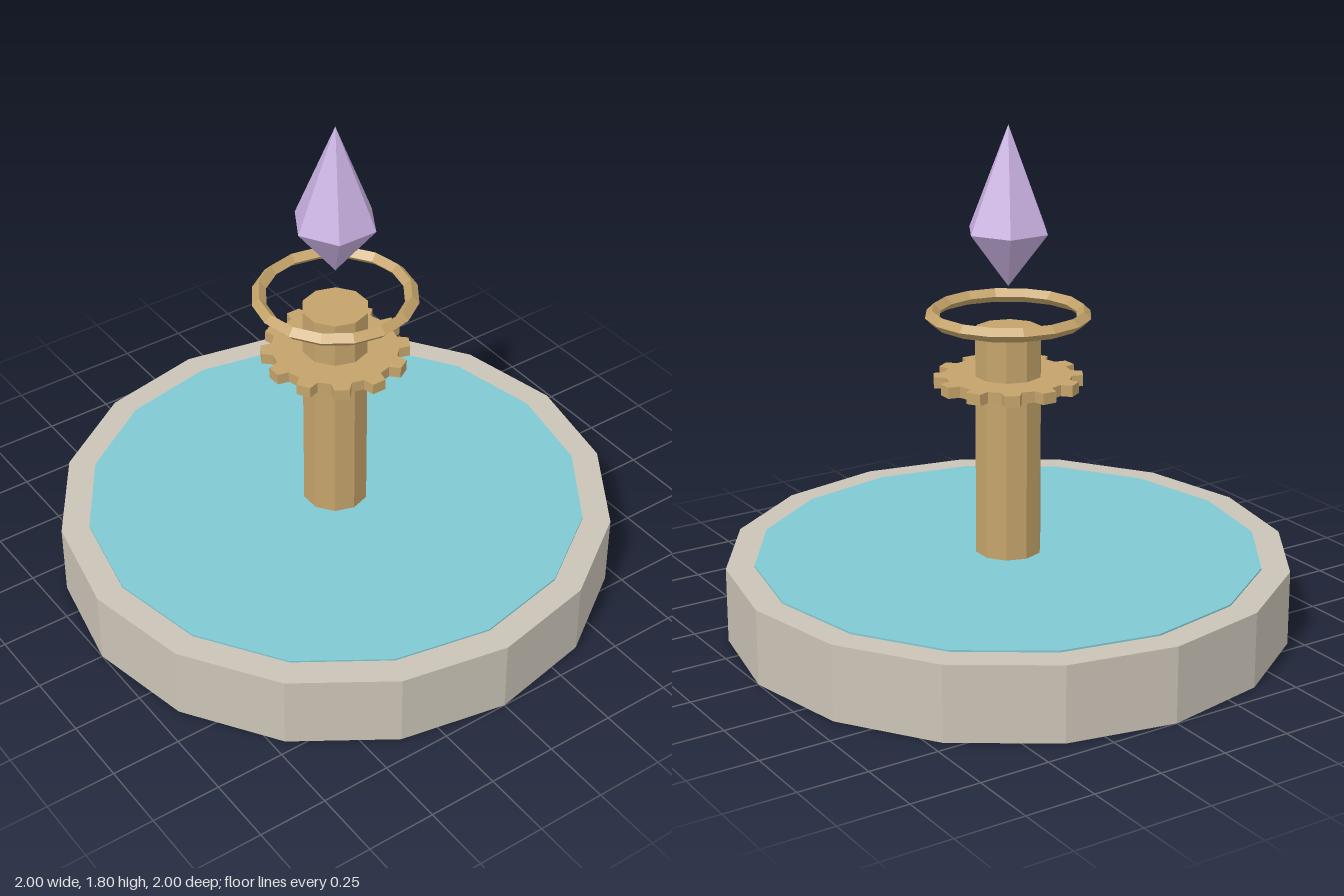
import * as THREE from 'three';

const material = (name, color) => {
  const m = new THREE.MeshStandardMaterial({ color, flatShading: true });
  m.name = name;
  return m;
};

// Flat gear lying in the ground plane, extruded upwards from y = 0
function gearGeometry(teeth, outer, root, thickness) {
  const shape = new THREE.Shape();
  const step = (Math.PI * 2) / teeth;
  for (let i = 0; i < teeth; i++) {
    for (const [offset, r] of [[-0.3, root], [-0.19, outer], [0.19, outer], [0.3, root]]) {
      const a = (i + offset) * step;
      const x = Math.cos(a) * r, y = Math.sin(a) * r;
      if (i === 0 && offset === -0.3) shape.moveTo(x, y);
      else shape.lineTo(x, y);
    }
  }
  shape.closePath();
  const geo = new THREE.ExtrudeGeometry(shape, { depth: thickness, bevelEnabled: false });
  return geo.rotateX(-Math.PI / 2);
}

export function createModel() {
  const group = new THREE.Group();
  const stone = material('stone', 0xcac3b6);
  const water = material('water', 0x80c8d2);
  const brass = material('brass', 0xc4a36a);
  const crystal = material('crystal', 0xc8b0e0);

  const add = (name, geometry, mat, y) => {
    const mesh = new THREE.Mesh(geometry, mat);
    mesh.name = name;
    mesh.position.y = y;
    group.add(mesh);
    return mesh;
  };

  // Round basin with a thin sheet of water on top
  add('basin', new THREE.CylinderGeometry(1, 1, 0.27, 16), stone, 0.135);
  add('waterSurface', new THREE.CylinderGeometry(0.9, 0.9, 0.007, 16), water, 0.2725);

  // Central column carrying a toothed collar
  add('column', new THREE.CylinderGeometry(0.118, 0.118, 0.82, 10), brass, 0.68);
  add('gear', gearGeometry(12, 0.26, 0.222, 0.04), brass, 0.885);

  // Floating ring with a diamond cross-section
  add('ring', new THREE.TorusGeometry(0.265, 0.025, 4, 16).rotateX(Math.PI / 2), brass, 1.139);

  // Floating six-sided crystal: long upper point, short lower point
  const upper = add('crystalTop', new THREE.ConeGeometry(0.15, 0.365, 6, 1, true), crystal, 1.6175);
  const lower = add('crystalBottom', new THREE.CylinderGeometry(0.15, 0, 0.195, 6, 1, true), crystal, 1.3375);
  for (const half of [upper, lower]) half.rotation.y = Math.PI / 6;

  return group;
}
